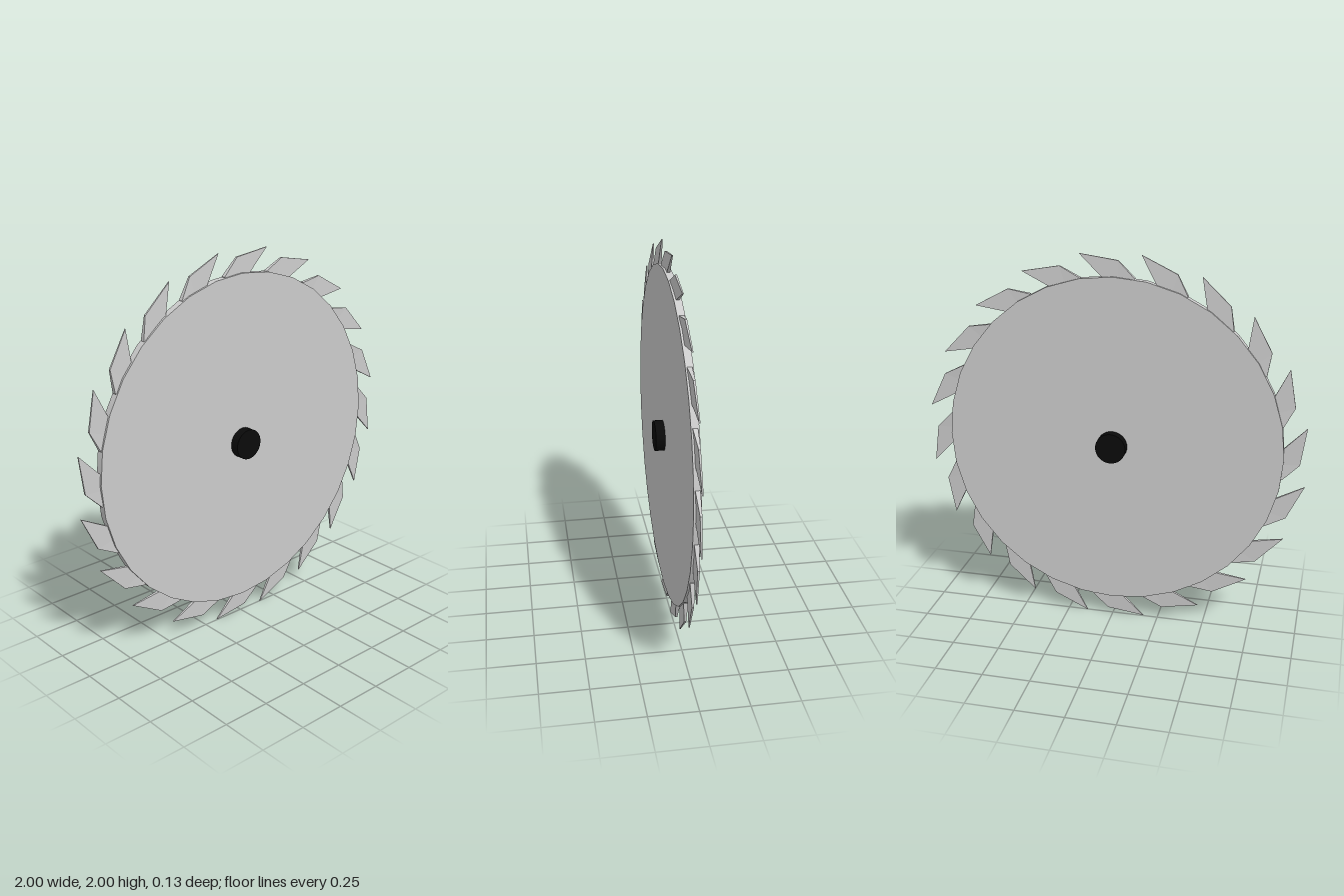
import * as THREE from 'three';

const TEETH = 20;

// One raked tooth on the +x side, thinning towards its tip
function toothGeometry() {
  const outline = [[0.8, 0.03], [0.995, -0.172], [0.968, 0.027], [0.882, 0.112]];
  const shape = new THREE.Shape(outline.map(([x, y]) => new THREE.Vector2(x, y)));
  const geometry = new THREE.ExtrudeGeometry(shape, { depth: 1, bevelEnabled: false });
  const p = geometry.attributes.position;
  for (let i = 0; i < p.count; i++) {
    const t = THREE.MathUtils.clamp((p.getX(i) - 0.88) / 0.115, 0, 1);
    const half = THREE.MathUtils.lerp(0.012, 0.003, t);
    p.setZ(i, p.getZ(i) > 0.5 ? half : -half);
  }
  geometry.computeVertexNormals();
  return geometry;
}

// Round plate or shaft with its axis along z
function roundPart(name, radius, depth, material) {
  const geometry = new THREE.CylinderGeometry(radius, radius, depth, 32);
  geometry.rotateX(Math.PI / 2);
  const mesh = new THREE.Mesh(geometry, material);
  mesh.name = name;
  return mesh;
}

export function createModel() {
  const steel = new THREE.MeshStandardMaterial({ color: 0xcccccc });
  const black = new THREE.MeshStandardMaterial({ color: 0x0a0a0a });

  const blade = new THREE.Group();
  blade.name = 'sawBlade';
  blade.position.y = 1;

  // Disc and the shaft through its centre
  blade.add(roundPart('disc', 0.888, 0.038, steel));
  blade.add(roundPart('shaft', 0.08, 0.134, black));

  // Ring of teeth
  const teeth = new THREE.Group();
  teeth.name = 'teeth';
  const geometry = toothGeometry();
  for (let i = 0; i < TEETH; i++) {
    const tooth = new THREE.Mesh(geometry, steel);
    tooth.name = 'tooth';
    tooth.rotation.z = (i / TEETH) * Math.PI * 2;
    teeth.add(tooth);
  }
  blade.add(teeth);

  const model = new THREE.Group();
  model.name = 'circularSaw';
  model.add(blade);
  return model;
}
